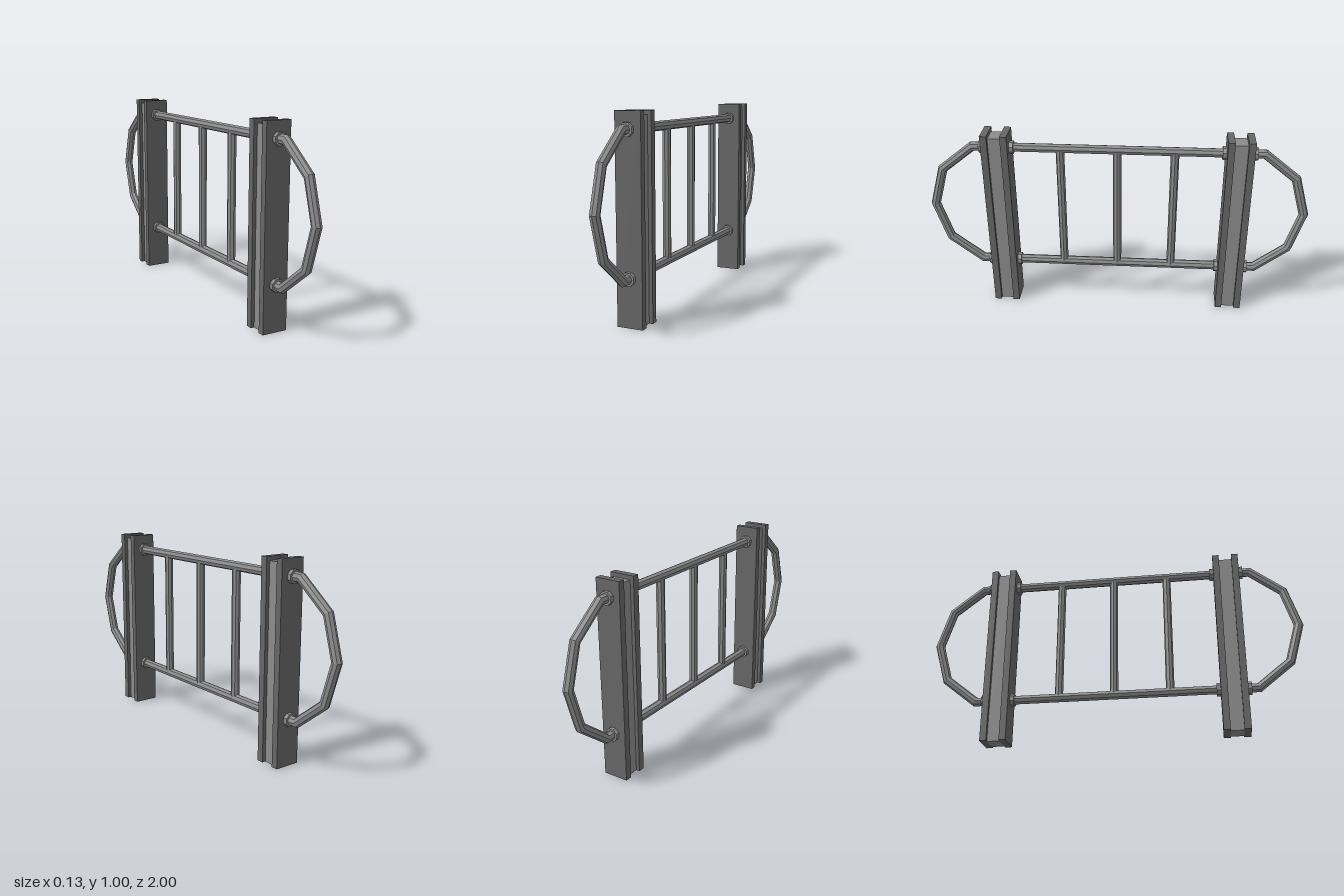
import * as THREE from 'three';

const darkSteel = new THREE.MeshStandardMaterial({ color: 0x666666, flatShading: true });
darkSteel.name = 'dark steel';
const lightSteel = new THREE.MeshStandardMaterial({ color: 0x8c8c8c, flatShading: true });
lightSteel.name = 'light steel';

const SIDES = 8;
const TOP = 0.917, LOW = 0.237, MID = (TOP + LOW) / 2;

// Closed tube with mitred corners along [z, y] points lying in the x = 0 plane
function mitredLoop(points, radius) {
  const path = points.map(([z, y]) => new THREE.Vector2(z, y));
  const count = path.length;
  const positions = [], indices = [];
  path.forEach((p, i) => {
    const before = p.clone().sub(path[(i + count - 1) % count]).normalize();
    const after = path[(i + 1) % count].clone().sub(p).normalize();
    const t = before.clone().add(after).normalize();
    const stretch = radius / t.dot(after);
    for (let j = 0; j < SIDES; j++) {
      const a = (j / SIDES) * Math.PI * 2;
      const s = Math.sin(a) * stretch;
      positions.push(Math.cos(a) * radius, p.y + t.x * s, p.x - t.y * s);
    }
  });
  for (let i = 0; i < count; i++) {
    for (let j = 0; j < SIDES; j++) {
      const k = (j + 1) % SIDES, n = (i + 1) % count;
      const a = i * SIDES + j, b = i * SIDES + k, c = n * SIDES + j, d = n * SIDES + k;
      indices.push(a, b, c, b, d, c);
    }
  }
  const geometry = new THREE.BufferGeometry();
  geometry.setAttribute('position', new THREE.Float32BufferAttribute(positions, 3));
  geometry.setIndex(indices);
  geometry.computeVertexNormals();
  return geometry;
}

export function createModel() {
  const model = new THREE.Group();
  model.name = 'barrier';

  function add(parent, name, geometry, material, x, y, z) {
    const mesh = new THREE.Mesh(geometry, material);
    mesh.name = name;
    mesh.position.set(x, y, z);
    parent.add(mesh);
    return mesh;
  }

  // Continuous rail: two straight runs joined by faceted bows at the ends
  const bow = [[0.745, TOP], [0.914, MID + 0.206], [0.975, MID], [0.914, MID - 0.206], [0.745, LOW]];
  const loop = [...bow, ...bow.map(([z, y]) => [-z, y]).reverse()];
  add(model, 'railLoop', mitredLoop(loop, 0.024), lightSteel, 0, 0, 0);

  // Upright rungs
  const rungGeometry = new THREE.CylinderGeometry(0.022, 0.022, TOP - LOW, SIDES, 1, true);
  for (const z of [-0.293, 0, 0.293]) add(model, 'rung', rungGeometry, lightSteel, 0, MID, z);

  // Posts: a recessed core between two flanges, with collars around the rails
  const flangeGeometry = new THREE.BoxGeometry(0.132, 1, 0.035);
  const coreGeometry = new THREE.BoxGeometry(0.094, 0.98, 0.068);
  const collarGeometry = new THREE.CylinderGeometry(0.034, 0.034, 0.022, SIDES);
  collarGeometry.rotateY(Math.PI / SIDES).rotateX(Math.PI / 2);
  for (const side of [-1, 1]) {
    const post = new THREE.Group();
    post.name = side > 0 ? 'frontPost' : 'backPost';
    post.position.z = side * 0.619;
    add(post, 'core', coreGeometry, lightSteel, 0, 0.49, 0);
    for (const face of [-1, 1]) {
      add(post, 'flange', flangeGeometry, darkSteel, 0, 0.5, face * 0.051);
      for (const y of [LOW, TOP]) add(post, 'collar', collarGeometry, lightSteel, 0, y, face * 0.078);
    }
    model.add(post);
  }
  return model;
}
